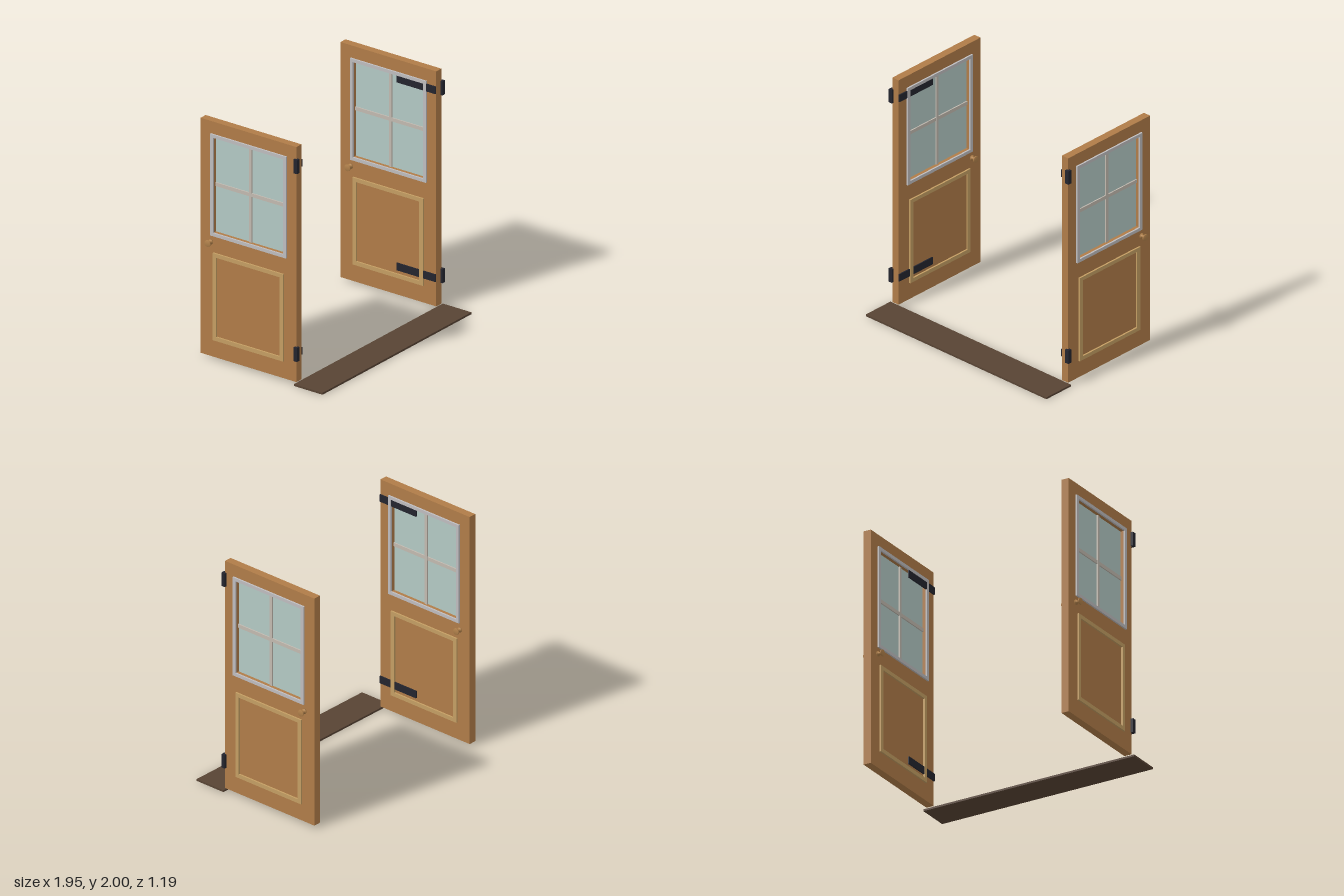
import * as THREE from 'three';

const mat = (name, color) => {
  const m = new THREE.MeshStandardMaterial({ color });
  m.name = name;
  return m;
};

export function createModel() {
  const wood = mat('door wood', 0xb07c48);
  const moulding = mat('panel moulding', 0xc49e63);
  const trim = mat('window trim', 0xbfbdbf);
  const muntin = mat('glazing bar', 0xc2bab0);
  const glass = mat('glass', 0xb3c9c4);
  const iron = mat('hinge iron', 0x23242e);
  const brass = mat('knob brass', 0xb0804a);
  const sillWood = mat('threshold wood', 0x584434);

  const model = new THREE.Group();
  model.name = 'doubleDoor';

  const add = (parent, name, geometry, material, x = 0, y = 0, z = 0) => {
    const mesh = new THREE.Mesh(geometry, material);
    mesh.name = name;
    mesh.position.set(x, y, z);
    parent.add(mesh);
    return mesh;
  };
  // Box given by its limits on each axis
  const box = (parent, name, material, [x0, x1], [y0, y1], [z0, z1]) =>
    add(parent, name, new THREE.BoxGeometry(x1 - x0, y1 - y0, z1 - z0), material,
      (x0 + x1) / 2, (y0 + y1) / 2, (z0 + z1) / 2);

  const trace = (path, [z0, z1], [y0, y1]) => {
    path.moveTo(z0, y0);
    path.lineTo(z1, y0);
    path.lineTo(z1, y1);
    path.lineTo(z0, y1);
    path.closePath();
    return path;
  };
  // Rectangular slab in the z-y plane with a rectangular hole, centred on x = 0
  const frame = (oz, oy, iz, iy, depth) => {
    const shape = trace(new THREE.Shape(), oz, oy);
    shape.holes.push(trace(new THREE.Path(), iz, iy));
    return new THREE.ExtrudeGeometry(shape, { depth, bevelEnabled: false })
      .translate(0, 0, -depth / 2).rotateY(-Math.PI / 2);
  };

  const half = 0.0325;            // half the door thickness
  const winZ = [-0.467, 0.207], winY = [1.07, 1.87];
  const knobProfile = [[0, 0], [0.021, 0], [0.021, 0.009], [0.012, 0.012], [0.012, 0.034],
    [0.026, 0.038], [0.028, 0.042], [0.026, 0.05], [0, 0.05]].map(p => new THREE.Vector2(...p));

  // side is +1 for the left leaf and -1 for the right leaf
  const makeDoor = (side) => {
    const door = new THREE.Group();
    door.name = side > 0 ? 'leftDoor' : 'rightDoor';
    door.position.x = side * 0.8925;
    model.add(door);

    add(door, 'doorLeaf', frame([-0.595, 0.325], [0.025, 2], winZ, winY, half * 2), wood);

    // Window
    box(door, 'windowPane', glass, [-0.005, 0.005], winY, winZ);
    box(door, 'verticalBar', muntin, [-0.016, 0.016], winY, [-0.143, -0.117]);
    box(door, 'horizontalBar', muntin, [-0.015, 0.015], [1.455, 1.485], winZ);

    // Trim, moulding and knob on both faces
    for (const f of [-1, 1]) {
      add(door, 'windowTrim', frame([-0.495, 0.235], [1.043, 1.897], winZ, winY, 0.014),
        trim, f * (half + 0.007));
      add(door, 'panelMoulding', frame([-0.47, 0.207], [0.17, 0.902], [-0.435, 0.172], [0.203, 0.87], 0.014),
        moulding, f * (half + 0.007));
      const knob = add(door, 'knob', new THREE.LatheGeometry(knobProfile, 20), brass,
        f * half, 0.985, -0.495);
      knob.rotation.z = -f * Math.PI / 2;
    }

    // Hinges: knuckle on the outer corner, strap on the inner face
    for (const y of [0.263, 1.842]) {
      add(door, 'hingeKnuckle', new THREE.BoxGeometry(0.034, 0.116, 0.034), iron,
        side * 0.036, y, 0.328);
      add(door, 'hingeStrap', new THREE.BoxGeometry(0.01, 0.062, 0.375), iron,
        -side * (half + 0.005), y, 0.1375);
    }
  };

  makeDoor(1);
  makeDoor(-1);

  box(model, 'threshold', sillWood, [-0.95, 0.95], [0, 0.016], [0.32, 0.595]);

  return model;
}
